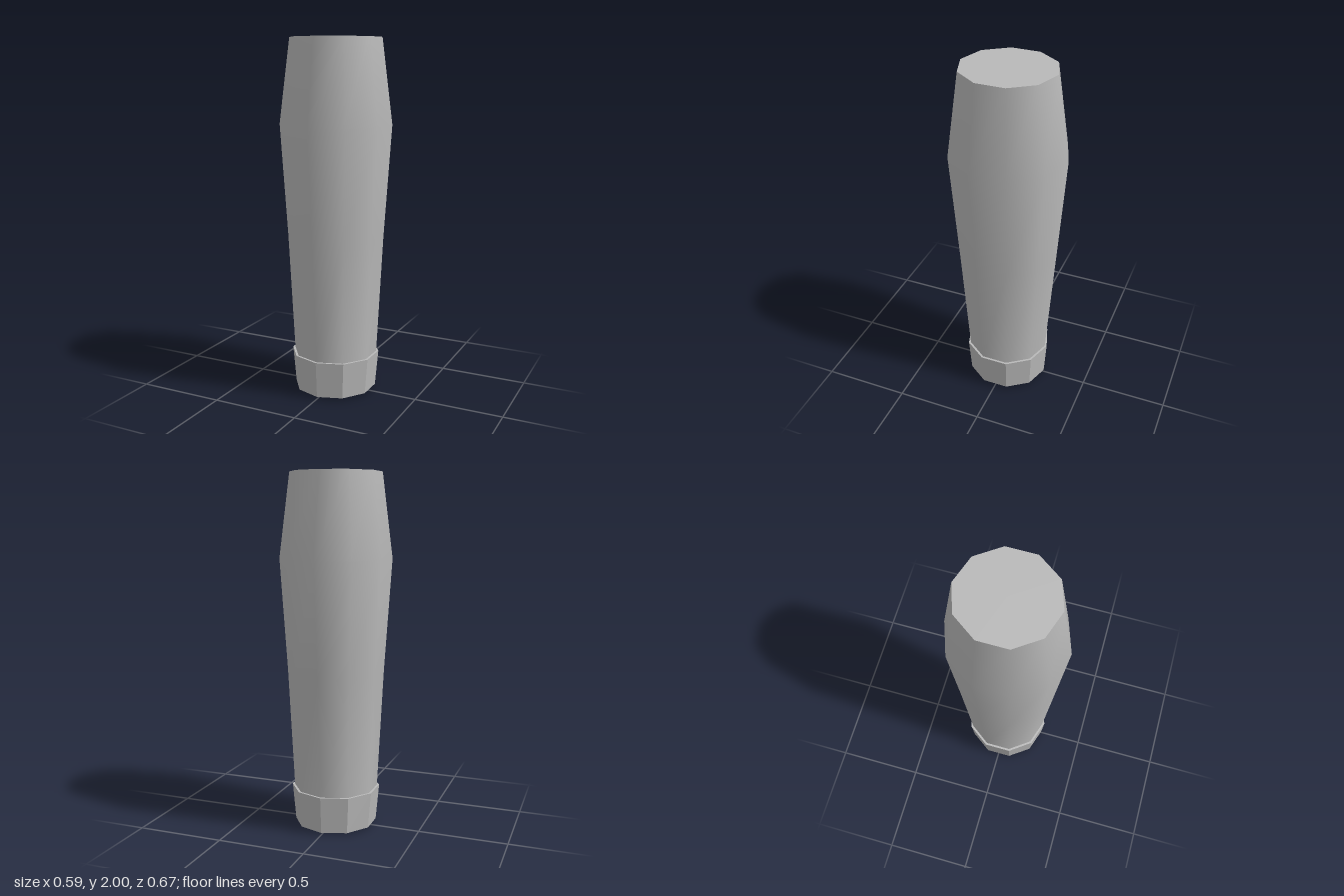
import * as THREE from 'three';
import { mergeVertices } from 'three/addons/utils/BufferGeometryUtils.js';

const SIDES = 10;

// Ten-sided side wall through rings of [y, xRadius, zRadius], listed top down
function wall(rings) {
  const g = new THREE.CylinderGeometry(1, 1, 1, SIDES, rings.length - 1, true);
  const p = g.attributes.position;
  for (let i = 0; i < p.count; i++) {
    const [y, rx, rz] = rings[Math.floor(i / (SIDES + 1))];
    p.setXYZ(i, p.getX(i) * rx, y, p.getZ(i) * rz);
  }
  g.deleteAttribute('uv');
  g.deleteAttribute('normal');
  const merged = mergeVertices(g, 1e-5);
  merged.computeVertexNormals();
  return merged;
}

// Flat ten-sided cap facing up or down
function cap(y, rx, rz, up) {
  const g = new THREE.CircleGeometry(1, SIDES, Math.PI / 2);
  g.rotateX(up ? -Math.PI / 2 : Math.PI / 2);
  g.scale(rx, 1, rz);
  g.translate(0, y, 0);
  return g;
}

export function createModel() {
  const grey = new THREE.MeshStandardMaterial({ color: 0xb8b8b8 });
  grey.name = 'grey';
  const facetedGrey = grey.clone();
  facetedGrey.name = 'facetedGrey';
  facetedGrey.flatShading = true;

  const model = new THREE.Group();
  model.name = 'taperedGrip';
  const add = (name, geometry, material = grey) => {
    const mesh = new THREE.Mesh(geometry, material);
    mesh.name = name;
    model.add(mesh);
  };

  // Smooth swelling body, slightly deeper than wide
  add('body', wall([
    [2, 0.254, 0.262],
    [1.53, 0.312, 0.333],
    [0.9, 0.271, 0.288],
    [0.2, 0.238, 0.238],
  ]));
  add('bodyTop', cap(2, 0.254, 0.262, true));

  // Faceted collar around the foot
  add('collar', wall([[0.22, 0.252, 0.252], [0.012, 0.233, 0.238]]), facetedGrey);
  add('collarTop', cap(0.22, 0.252, 0.252, true));
  add('collarUnderside', cap(0.012, 0.233, 0.238, false));

  // Thin foot plate
  add('footPlate', wall([[0.012, 0.203, 0.21], [0, 0.2, 0.207]]), facetedGrey);
  add('footPlateUnderside', cap(0, 0.2, 0.207, false));

  return model;
}
